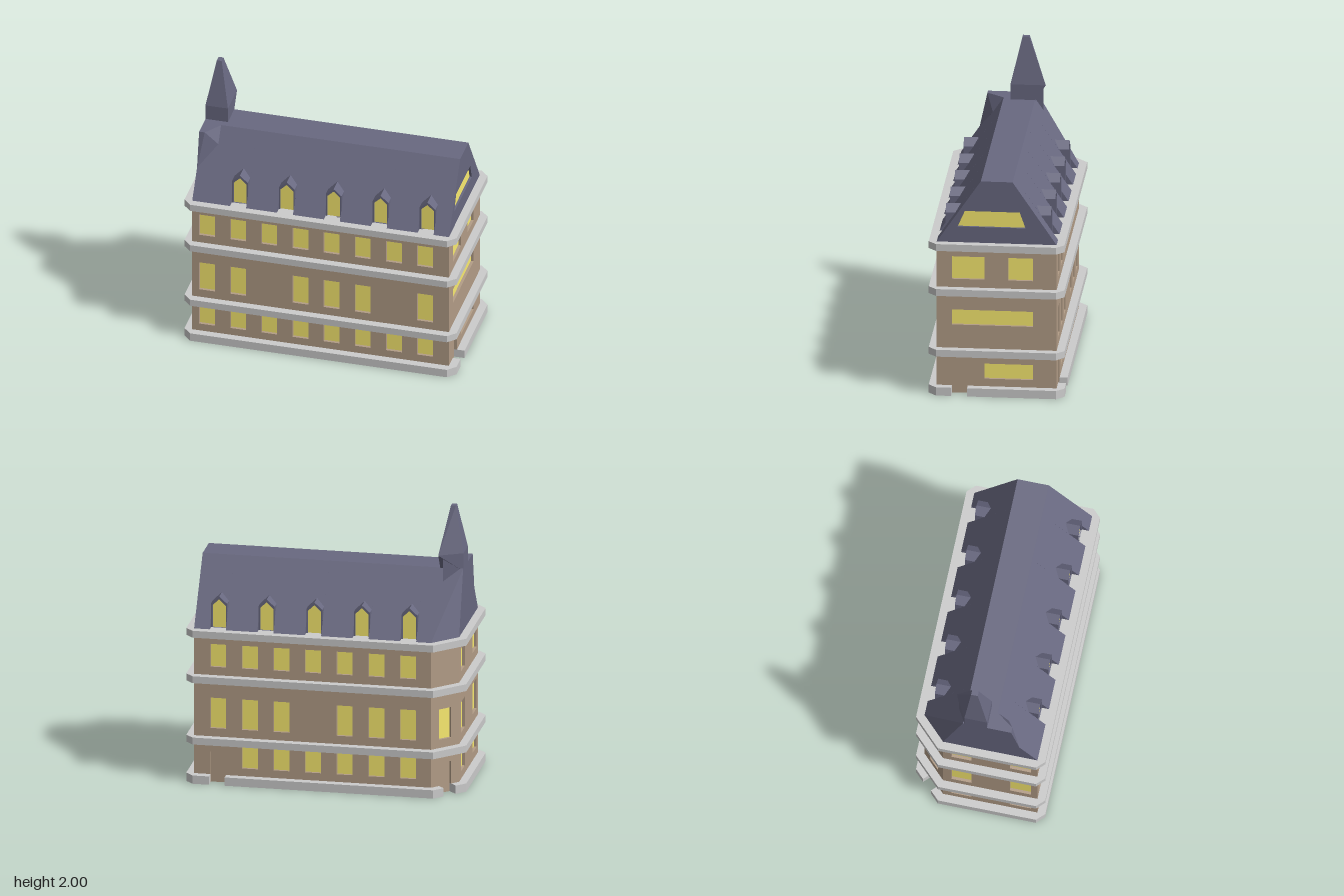
import * as THREE from 'three';
import { ConvexGeometry } from 'three/addons/geometries/ConvexGeometry.js';

const paint = (color) => new THREE.MeshStandardMaterial({ color, flatShading: true });
const WALL = paint(0xb39d87), GLASS = paint(0xfaec70), ROOF = paint(0x686880), STONE = paint(0xcccccc);
const HX = 0.915, HZ = 0.415, WALL_H = 1.1, EAVE = 1.11, RIDGE = 1.56, DOOR_H = 0.225;

const shapeOf = (pts) => new THREE.Shape(pts.map(([x, y]) => new THREE.Vector2(x, y)));
const rectPts = (a, b, lo, hi) => [[a, lo], [b, lo], [b, hi], [a, hi]];
const extrude = (shape, depth) => new THREE.ExtrudeGeometry(shape, { depth, bevelEnabled: false });

export function createModel() {
  const model = new THREE.Group();
  model.name = 'townHall';

  const add = (name, geometry, material, parent = model) => {
    const mesh = new THREE.Mesh(geometry, material);
    mesh.name = name;
    parent.add(mesh);
    return mesh;
  };
  const hull = (name, pts, material) =>
    add(name, new ConvexGeometry(pts.map((p) => new THREE.Vector3(...p))), material);

  // One wall from p0 to p1 (x, z), pierced by windows and doors, each [u0, u1, y0, y1]
  function wall(name, p0, p1, windows, doors = []) {
    const group = new THREE.Group();
    group.name = name;
    const dx = p1[0] - p0[0], dz = p1[1] - p0[1], length = Math.hypot(dx, dz);
    group.position.set(p0[0], 0, p0[1]);
    group.rotation.y = Math.atan2(-dz, dx);
    const notches = doors.flatMap(([a, b]) => [[a, 0], [a, DOOR_H], [b, DOOR_H], [b, 0]]);
    const shape = shapeOf([[0, 0], ...notches, [length, 0], [length, WALL_H], [0, WALL_H]]);
    for (const w of windows) shape.holes.push(shapeOf(rectPts(...w)));
    add(name + 'Panel', extrude(shape, 0.03).translate(0, 0, -0.03), WALL, group);
    const pane = (label, a, b, lo, hi, material) =>
      add(label, extrude(shapeOf(rectPts(a, b, lo, hi)), 0.008).translate(0, 0, -0.028), material, group);
    for (const w of windows) pane('window', ...w, GLASS);
    for (const [a, b] of doors) pane('door', a, b, 0, DOOR_H, WALL);
    model.add(group);
  }

  const floors = [[0.115, 0.29], [0.395, 0.615], [0.84, 1.005]];
  const columns = Array.from({ length: 8 }, (_, i) => -0.81 + i * 0.2222);
  const bays = (toU, skip) => floors.flatMap((f, level) =>
    columns.map((x, i) => [toU(x) - 0.056, toU(x) + 0.056, ...f]).filter((_, i) => !skip[level].includes(i)));

  // Front and back walls
  wall('frontWall', [-HX, HZ], [HX, HZ], bays((x) => x + HX, [[], [2, 6], []]));
  wall('backWall', [HX, -HZ], [-0.75, -HZ], bays((x) => HX - x, [[0, 7], [0, 4], [0]]), [[0.115, 0.225]]);

  // Right-hand and left-hand end walls
  wall('leftWall', [HX, HZ], [HX, -HZ], [
    [0.33, 0.665, 0.115, 0.225], [0.105, 0.665, 0.505, 0.615],
    [0.105, 0.33, 0.84, 1.005], [0.495, 0.665, 0.84, 1.005],
  ], [[0.105, 0.215]]);
  wall('rightWall', [-HX, -0.25], [-HX, HZ],
    floors.flatMap((f) => [[0.06, 0.2, ...f], [0.47, 0.62, ...f]]));

  // Cut-off back corner with its own door
  wall('cornerWall', [-0.75, -HZ], [-HX, -0.25], [[0.067, 0.167, ...floors[1]]], [[0.067, 0.167]]);

  // Stone ledges; the lowest is interrupted at the doors
  const s = Math.SQRT1_2;
  const cornerPoint = (t, n) => [-0.8325 - s * (t + n), -0.3325 + s * (t - n)];
  const doorGaps = {
    left: [[0.97, 0.31], [0.885, 0.31], [0.885, 0.2], [0.97, 0.2]],
    back: [[0.8, -0.47], [0.8, -0.385], [0.69, -0.385], [0.69, -0.47]],
    corner: [cornerPoint(-0.05, 0.0565), cornerPoint(-0.05, -0.03), cornerPoint(0.05, -0.03), cornerPoint(0.05, 0.0565)],
  };
  function ledge(name, y0, y1, gaps = { left: [], back: [], corner: [] }) {
    const plan = [
      [-0.97, 0.415], [-0.915, 0.47], [0.915, 0.47], [0.97, 0.415], ...gaps.left,
      [0.97, -0.415], [0.915, -0.47], ...gaps.back, [-0.775, -0.47], ...gaps.corner, [-0.97, -0.275],
    ];
    const geometry = extrude(shapeOf(plan.map(([x, z]) => [x, -z])), y1 - y0);
    add(name, geometry.rotateX(-Math.PI / 2).translate(0, y0, 0), STONE);
  }
  ledge('baseLedge', 0, 0.06, doorGaps);
  ledge('firstLedge', 0.285, 0.335);
  ledge('secondLedge', 0.73, 0.78);
  ledge('eaveLedge', 1.06, EAVE);

  // Roof in slices along x, set back beneath each pair of dormers
  const profile = [[-HZ, EAVE], [HZ, EAVE], [0.11, RIDGE], [-0.11, RIDGE]];
  const setBack = [[-0.35, EAVE], [0.35, EAVE], [0.35, 1.207], [0.11, RIDGE], [-0.11, RIDGE], [-0.35, 1.207]];
  const slice = (shape, x0, x1, name = 'roof', material = ROOF) =>
    add(name, extrude(shape, x1 - x0).rotateY(Math.PI / 2).translate(x0, 0, 0), material);

  const dormerXs = [-0.588, -0.254, 0.08, 0.415, 0.749];
  let x = -0.75;
  for (const c of dormerXs) {
    slice(shapeOf(profile), x, c - 0.057);
    slice(shapeOf(setBack), c - 0.057, c + 0.057);
    x = c + 0.057;
  }
  slice(shapeOf(profile), x, 0.895);

  // Gable end with a recessed window
  const gableWindow = [[-0.27, 1.225], [0.2, 1.225], [0.16, 1.34], [-0.22, 1.34]];
  const gable = shapeOf(profile);
  gable.holes.push(shapeOf(gableWindow));
  slice(gable, 0.895, HX, 'gable');
  slice(shapeOf(gableWindow), 0.89, 0.899, 'gableWindow', GLASS);

  // Dormers on both slopes
  const dormerShape = (w, side, peak) => shapeOf([[-w, EAVE], [w, EAVE], [w, side], [0, peak], [-w, side]]);
  for (const c of dormerXs) for (const turn of [0, Math.PI]) {
    const dormer = new THREE.Group();
    dormer.name = 'dormer';
    dormer.position.x = c;
    dormer.rotation.y = turn;
    const frame = dormerShape(0.056, 1.285, 1.335);
    frame.holes.push(dormerShape(0.047, 1.27, 1.315));
    add('dormerFrame', extrude(frame, 0.115).translate(0, 0, 0.25), ROOF, dormer);
    add('dormerWindow', extrude(dormerShape(0.048, 1.271, 1.316), 0.1).translate(0, 0, 0.253), GLASS, dormer);
    model.add(dormer);
  }

  // Roof end above the cut-off corner
  hull('cornerRoof', [
    ...profile.map(([z, y]) => [-0.75, y, z]),
    [-HX, EAVE, HZ], [-HX, RIDGE, 0.11], [-HX, RIDGE, -0.11], [-HX, EAVE, -0.25],
  ], ROOF);

  // Raised shoulder at the front of that end
  hull('roofShoulder', [
    [-HX, RIDGE, 0.23], [-0.875, RIDGE, 0.23], [-0.79, RIDGE, 0.11], [-HX, RIDGE, 0.1],
    [-0.79, 1.45, 0.185], [-HX, 1.3, 0.287], [-HX, 1.3, 0.1],
  ], ROOF);

  // Spire and the post below it
  const ring = (y, x0, x1, z0, z1, zFront) => [[x0, y, z0], [x1, y, z1], [x1, y, zFront], [x0, y, zFront]];
  hull('spire', [
    ...ring(1.54, -HX, -0.755, -0.1, -0.1, 0.06),
    ...ring(1.67, -HX, -0.755, -0.1, -0.185, 0.06),
    ...ring(2, -0.855, -0.82, -0.065, -0.065, -0.018),
  ], ROOF);
  hull('spirePost', [
    ...ring(1.4, -HX, -0.785, -0.1, -0.165, 0),
    ...ring(1.645, -HX, -0.785, -0.1, -0.165, 0),
  ], ROOF);

  return model;
}
